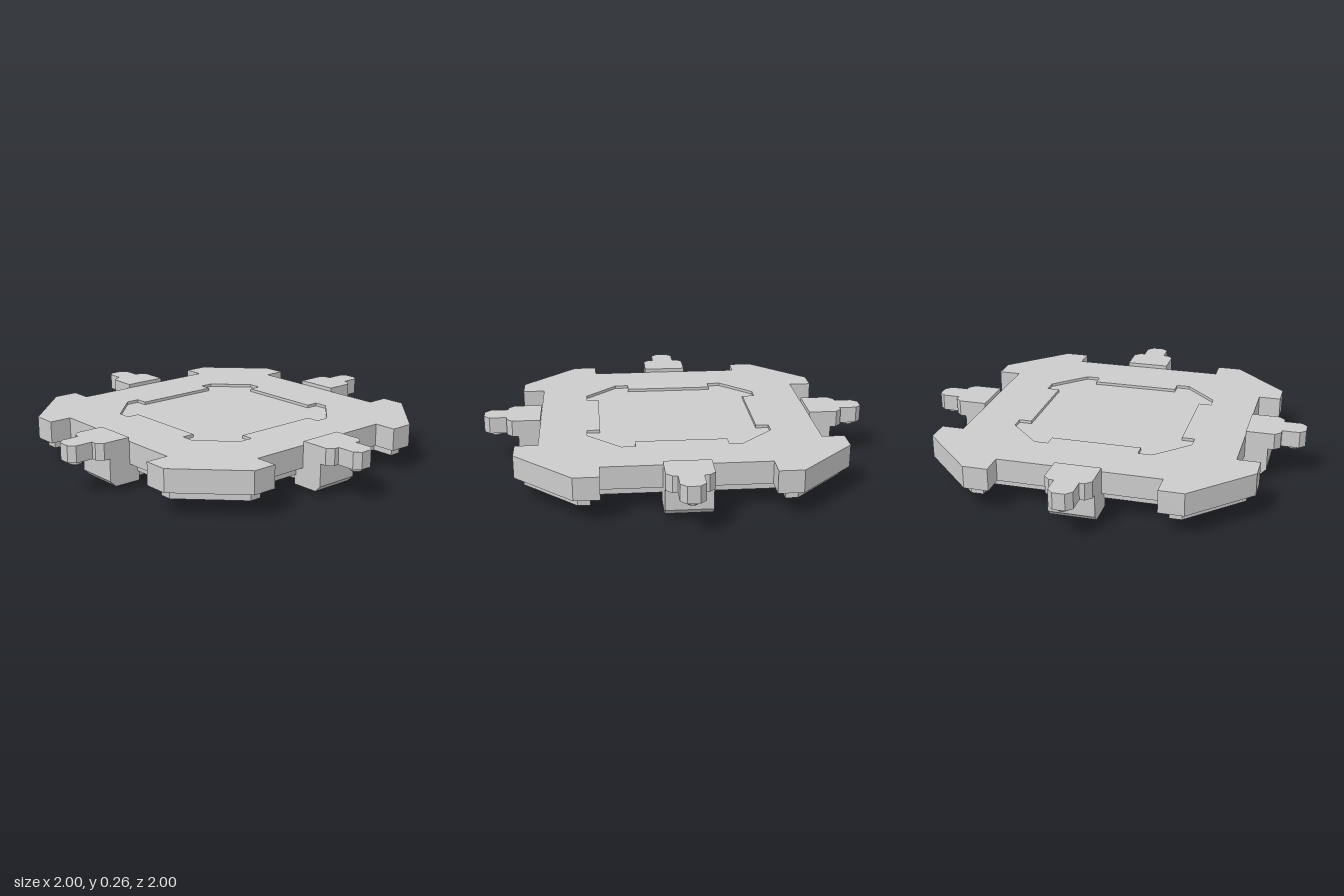
import * as THREE from 'three';

const material = new THREE.MeshStandardMaterial({ color: 0xcccccc, flatShading: true });

function part(name, geometry) {
  const mesh = new THREE.Mesh(geometry, material);
  mesh.name = name;
  return mesh;
}

const toVectors = (points) => points.map(([x, y]) => new THREE.Vector2(x, y));

// Extrude a plan outline upwards from y0 to y1
function slab(outline, y0, y1, hole) {
  const shape = new THREE.Shape(toVectors(outline));
  if (hole) shape.holes.push(new THREE.Path(toVectors(hole)));
  const geometry = new THREE.ExtrudeGeometry(shape, { depth: y1 - y0, bevelEnabled: false });
  return geometry.rotateX(-Math.PI / 2).translate(0, y0, 0);
}

// Repeat one corner of an outline around the four quarters
function fourCorners(corner) {
  const outline = [];
  for (let i = 0; i < 4; i++) {
    const c = [1, 0, -1, 0][i], s = [0, 1, 0, -1][i];
    corner.forEach(([x, y]) => outline.push([c * x - s * y, s * x + c * y]));
  }
  return outline;
}

// Square with notched sides and chamfered corner lugs
function luggedSquare(side, lug, inner, chamfer) {
  return fourCorners([
    [side, inner], [lug, inner], [lug, chamfer],
    [chamfer, lug], [inner, lug], [inner, side],
  ]);
}

// Socket-headed bolt pointing down from height y
function bolt(x, y) {
  const profile = toVectors([
    [0, -0.012], [0.014, -0.012], [0.014, -0.028], [0.026, -0.028],
    [0.034, -0.02], [0.034, -0.008], [0.028, -0.008], [0.028, 0.004],
  ]);
  const mesh = part('bolt', new THREE.LatheGeometry(profile, 16));
  mesh.position.set(x, y, 0);
  return mesh;
}

// Mirror half a plan outline across the x axis
function mirrored(half) {
  return [...half.map(([x, y]) => [x, -y]), ...half.slice().reverse()];
}

// Clamp bracket reaching out along +x
function createBracket() {
  const bracket = new THREE.Group();
  const column = new THREE.Shape(toVectors([
    [0.65, 0.03], [0.79, 0.03], [0.82, 0.06], [0.82, 0.18],
    [0.7, 0.18], [0.7, 0.12], [0.65, 0.12],
  ]));
  const columnGeometry = new THREE.ExtrudeGeometry(column, { depth: 0.23, bevelEnabled: false });
  bracket.add(part('bracketColumn', columnGeometry.translate(0, 0, -0.115)));

  const tab = mirrored([
    [0.705, 0.115], [0.85, 0.115], [0.88, 0.085], [0.88, 0.06], [0.97, 0.06], [1, 0.03],
  ]);
  bracket.add(part('bracketTab', slab(tab, 0.175, 0.26)));

  const foot = mirrored([[0.41, 0.03], [0.44, 0.06], [0.65, 0.06]]).reverse();
  bracket.add(part('bracketFoot', slab(foot, 0.03, 0.082)));

  bracket.add(bolt(0.94, 0.178), bolt(0.475, 0.03));
  return bracket;
}

export function createModel() {
  const model = new THREE.Group();
  model.name = 'floorPanel';

  // Stacked plates with a shared central opening
  const opening = luggedSquare(0.4, 0.465, 0.23, 0.3);
  model.add(part('upperPlate', slab(luggedSquare(0.705, 0.82, 0.41, 0.535), 0.125, 0.24, opening)));
  model.add(part('lowerPlate', slab(luggedSquare(0.66, 0.775, 0.455, 0.516), 0.08, 0.125, opening)));

  // Recessed centre panel
  model.add(part('centrePanel', slab(opening, 0.19, 0.225)));

  // Slats under the centre panel, shortened to follow the opening
  const slats = new THREE.Group();
  slats.name = 'slats';
  for (let i = -6; i <= 6; i++) {
    const x = i * 0.07;
    const reach = Math.abs(x) + 0.022;
    let half = 0.4;
    if (reach > 0.4) half = Math.min(0.4, 0.765 - reach);
    const slat = part('slat', new THREE.BoxGeometry(0.044, 0.055, 2 * half));
    slat.position.set(x, 0.165, 0);
    if (reach < 0.4) slats.add(slat);
  }
  model.add(slats);

  // One bracket on each side
  ['left', 'back', 'right', 'front'].forEach((side, i) => {
    const bracket = createBracket();
    bracket.name = side + 'Bracket';
    bracket.rotation.y = i * Math.PI / 2;
    model.add(bracket);
  });

  return model;
}
